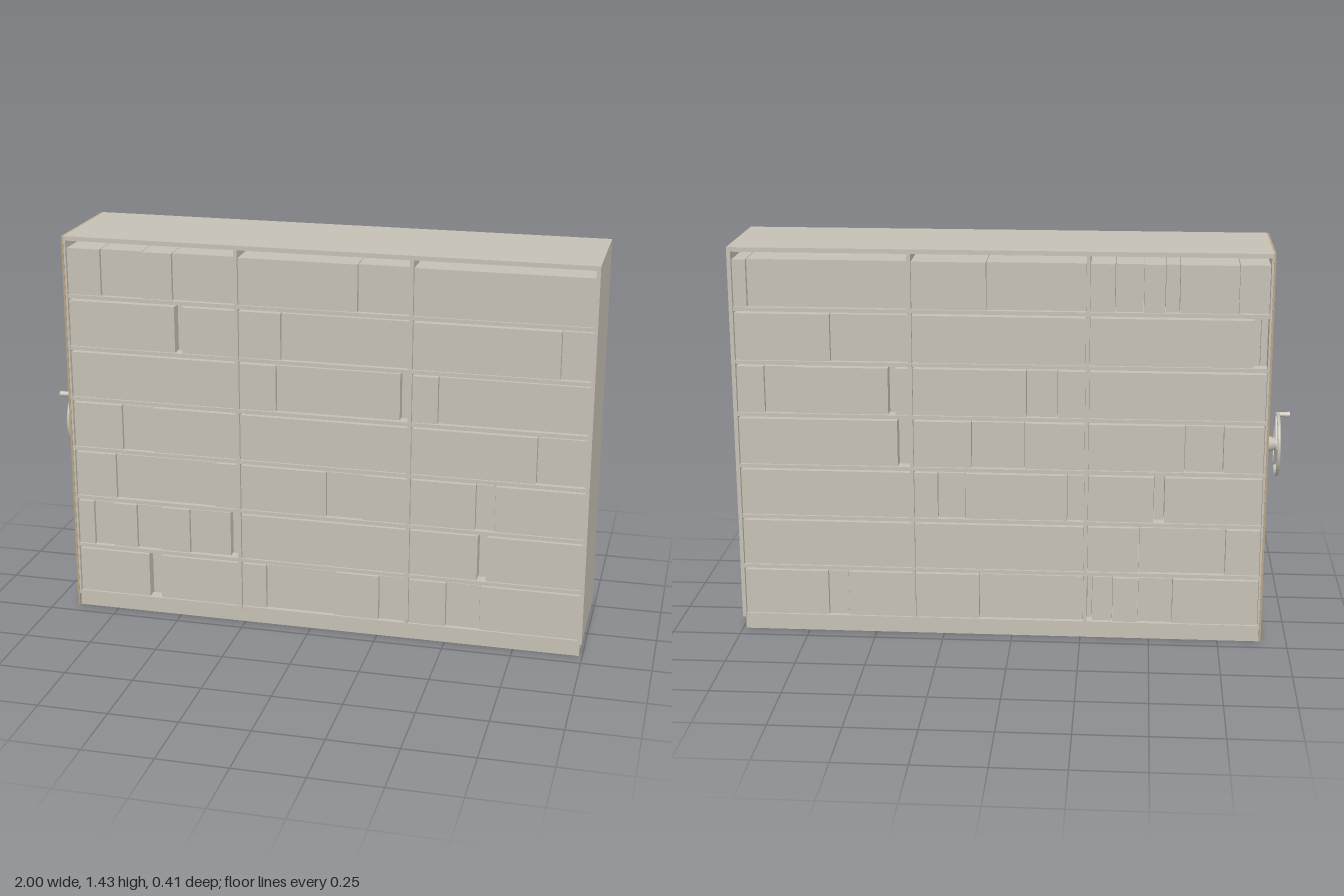
import * as THREE from 'three';

const steel = new THREE.MeshStandardMaterial({ color: 0xc5c0b5 });
steel.name = 'warm grey steel';
const tan = new THREE.MeshStandardMaterial({ color: 0xb7a382 });
tan.name = 'tan end panel';

const D = 0.207; // half depth of the cabinet
const X0 = -0.907, X1 = 0.997, TOP = 1.433;
const BASE = 0.05, PITCH = 0.1925, T = 0.014;

function box(parent, name, x0, x1, y0, y1, z0, z1, mat = steel) {
  const m = new THREE.Mesh(new THREE.BoxGeometry(x1 - x0, y1 - y0, z1 - z0), mat);
  m.position.set((x0 + x1) / 2, (y0 + y1) / 2, (z0 + z1) / 2);
  m.name = name;
  parent.add(m);
  return m;
}

// Cylinder lying along x
function rod(parent, name, x0, x1, r0, r1, y = 0, z = 0) {
  const m = new THREE.Mesh(new THREE.CylinderGeometry(r1, r0, x1 - x0, 24), steel);
  m.rotation.z = -Math.PI / 2;
  m.position.set((x0 + x1) / 2, y, z);
  m.name = name;
  parent.add(m);
}

// Bay edges from -x to +x
const bays = [[-0.893, -0.273], [-0.26, 0.353], [0.366, 0.983]];

// Where the files divide in each bay, rows from top to bottom, as a share of bay width
const frontSplits = [
  [[.2, .45, .63], [.7], []],
  [[.64, .68], [.25], [.83]],
  [[], [.22, .95], [.15]],
  [[.3, .49], [], [.72]],
  [[.25, .86], [.52, .74], [.38, .49]],
  [[.1, .22, .37, .52, .7, .95], [], [.4, .45]],
  [[.44, .51], [.15, .57, .84], [.22, .42]],
];
// Back rows are measured from the +x end of each bay
const backSplits = [
  [[.14, .3, .42, .5, .83], [.43], [.08]],
  [[.92, .96], [], [.55]],
  [[], [.66, .84], [.16, .33, .88, .92]],
  [[.55, .77], [.34, .65], [.93]],
  [[.38, .44], [.14, .3, .9], []],
  [[.3, .8], [], []],
  [[.03, .15, .3, .5], [.38], [.5, .62]],
];

function addFiles(parent, splits, side) {
  splits.forEach((row, r) => {
    const y0 = BASE + (6 - r) * PITCH + T;
    row.forEach((cuts, b) => {
      const [a, c] = bays[b];
      const edges = [0, ...cuts, 1];
      for (let i = 0; i < edges.length - 1; i++) {
        const u = edges[i], v = edges[i + 1];
        // Slim runs sit far back, the rest alternate a little
        const recess = v - u < 0.075 ? 0.05 : i % 2 ? 0.022 : 0.012;
        const xa = side > 0 ? a + u * (c - a) : c - v * (c - a);
        const xb = side > 0 ? a + v * (c - a) : c - u * (c - a);
        const z = D - recess;
        box(parent, 'files', xa + 0.001, xb - 0.001, y0, y0 + 0.169,
          side > 0 ? 0.005 : -z, side > 0 ? z : -0.005);
      }
    });
  });
}

function makeWheel() {
  const g = new THREE.Group();
  g.name = 'handwheel';
  g.position.set(0, 0.695, 0);
  rod(g, 'wheelFlange', -0.92, -0.907, 0.043, 0.043);
  rod(g, 'wheelHub', -0.948, -0.92, 0.02, 0.03);
  rod(g, 'wheelCap', -0.962, -0.944, 0.017, 0.02);
  const rim = new THREE.Mesh(new THREE.TorusGeometry(0.111, 0.0065, 10, 48), steel);
  rim.rotation.y = Math.PI / 2;
  rim.position.x = -0.952;
  rim.name = 'wheelRim';
  g.add(rim);
  // Three spokes, one pointing at the crank handle
  const start = Math.atan2(0.055, 0.095);
  for (let i = 0; i < 3; i++) {
    const s = new THREE.Mesh(new THREE.CylinderGeometry(0.005, 0.006, 0.108, 10), steel);
    s.geometry.translate(0, 0.055, 0);
    s.rotation.x = start + i * Math.PI * 2 / 3;
    s.position.x = -0.951;
    s.name = 'wheelSpoke';
    g.add(s);
  }
  rod(g, 'handleStem', -0.965, -0.945, 0.006, 0.006, 0.096, 0.055);
  rod(g, 'crankHandle', -1.0, -0.96, 0.011, 0.009, 0.096, 0.055);
  return g;
}

export function createModel() {
  const model = new THREE.Group();
  model.name = 'mobileShelving';

  // Carcass
  box(model, 'plinth', X0 + 0.006, 0.988, 0, BASE, -0.193, 0.193);
  box(model, 'endPanel', X0, X0 + 0.007, 0.006, TOP, -D, D, tan);
  box(model, 'leftSide', X1 - T, X1, BASE, TOP - 0.016, -D, D);
  box(model, 'rightSide', X0 + 0.007, X0 + T, BASE, TOP - 0.016, -D + 0.002, D - 0.002);
  box(model, 'topPanel', X0 + 0.007, X1, TOP - 0.016, TOP, -D, D);

  // Uprights between bays
  for (const [a, b] of [[-0.273, -0.26], [0.353, 0.366]])
    box(model, 'upright', a, b, BASE, TOP - 0.016, -D + 0.003, D - 0.003);

  // Shelves
  for (let i = 0; i < 7; i++)
    for (const [a, b] of bays)
      box(model, 'shelf', a, b, BASE + i * PITCH, BASE + i * PITCH + T, -D + 0.004, D - 0.004);

  // Files on both faces
  const files = new THREE.Group();
  files.name = 'fileRows';
  addFiles(files, frontSplits, 1);
  addFiles(files, backSplits, -1);
  model.add(files);

  model.add(makeWheel());
  return model;
}
